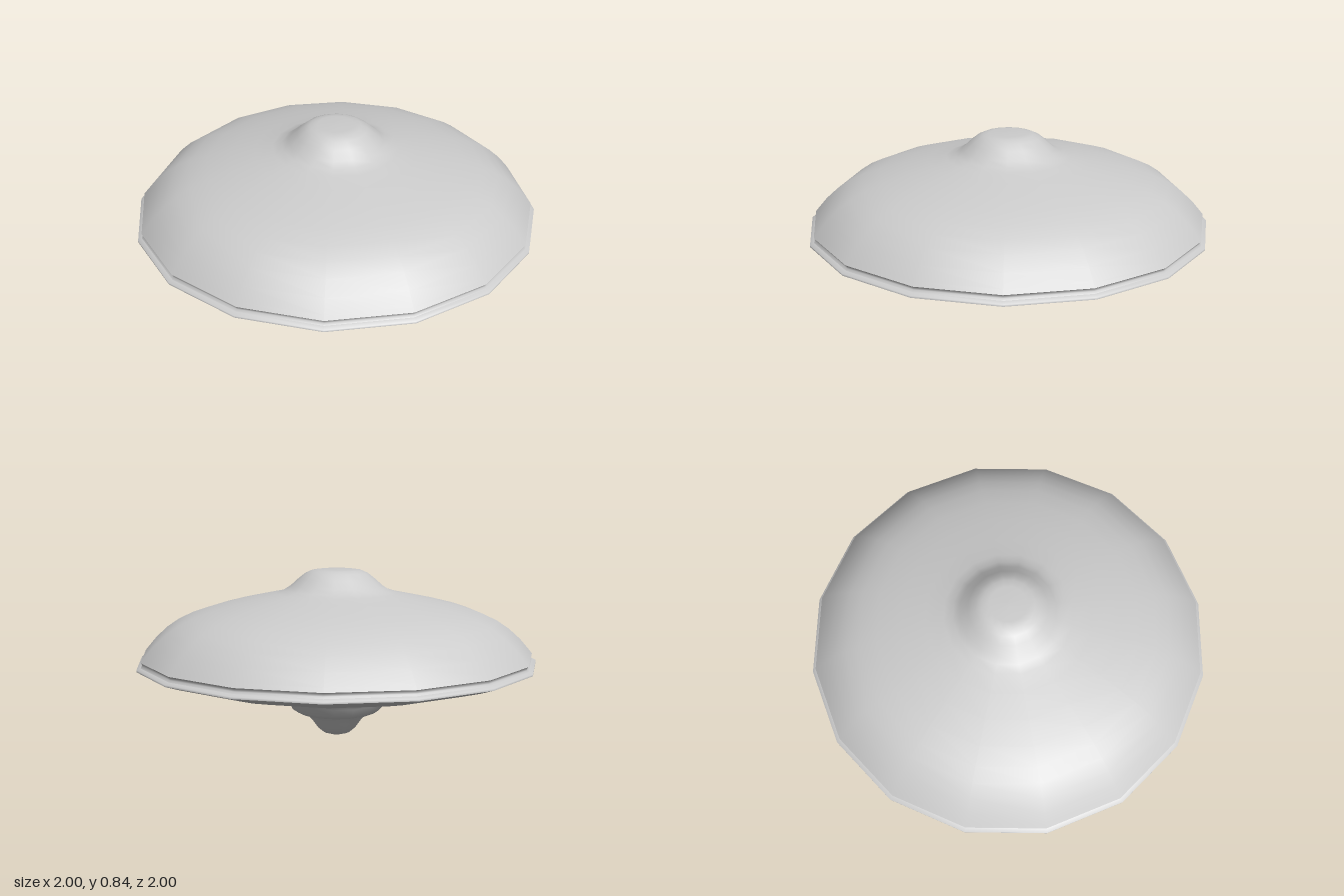
import * as THREE from 'three';

const SIDES = 16;

export function createModel() {
  const group = new THREE.Group();
  const material = new THREE.MeshStandardMaterial({ color: 0xcccccc, side: THREE.DoubleSide });

  // Each part is a turned profile of [radius, height], listed from bottom to top
  const turn = (name, profile) => {
    const points = profile.map(([r, y]) => new THREE.Vector2(r, y));
    const mesh = new THREE.Mesh(new THREE.LatheGeometry(points, SIDES), material);
    mesh.name = name;
    group.add(mesh);
  };

  // Rounded cone under the hull
  turn('bottomNozzle', [
    [0, 0.002], [0.04, 0.004], [0.07, 0.014], [0.1, 0.04], [0.125, 0.075], [0.16, 0.113],
  ]);

  // Stepped collar flowing into the shallow lower dish
  turn('lowerHull', [
    [0.1, 0.113], [0.16, 0.113], [0.205, 0.125], [0.235, 0.147], [0.25, 0.18],
    [0.272, 0.203], [0.31, 0.22], [0.4, 0.238], [0.55, 0.266], [0.7, 0.298],
    [0.83, 0.331], [0.93, 0.361], [1, 0.385],
  ]);

  // Thin outer lip with a narrow groove above it
  turn('rim', [[1, 0.385], [1, 0.394], [0.98, 0.402]]);
  turn('rimGroove', [[0.98, 0.402], [0.972, 0.41], [0.972, 0.42], [0.98, 0.427]]);

  // Domed upper shell rising into the flat-topped cabin
  turn('upperHull', [
    [0.98, 0.427], [0.965, 0.445], [0.92, 0.498], [0.86, 0.552], [0.8, 0.592],
    [0.73, 0.625], [0.64, 0.655], [0.52, 0.685], [0.4, 0.71], [0.31, 0.728],
    [0.265, 0.742], [0.23, 0.764], [0.19, 0.8], [0.155, 0.827], [0.125, 0.84],
    [0.09, 0.845], [0, 0.846],
  ]);

  return group;
}
